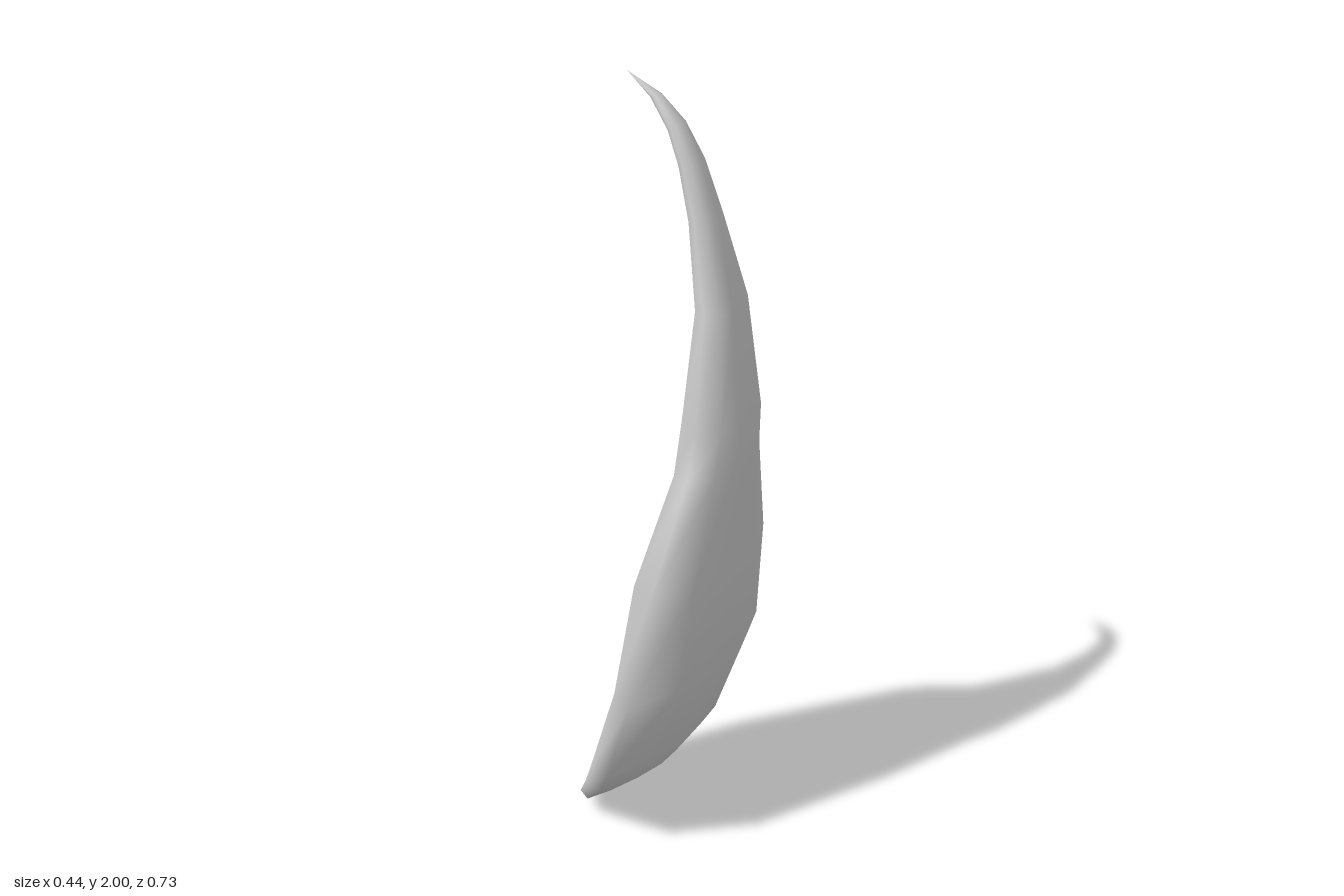
import * as THREE from 'three';

// Rows from base to tip: inner x, inner y, outer x, outer y, half width, roundness
const ROWS = [
  [-0.2, 0.05, -0.11, 0.05, 0.175, 0],
  [-0.15, 0.13, 0.01, 0.15, 0.25, 0],
  [-0.1, 0.22, 0.085, 0.255, 0.325, 0],
  [-0.01, 0.48, 0.17, 0.49, 0.365, 0],
  [0.02, 0.77, 0.2, 0.77, 0.31, 0.1],
  [0.07, 1.04, 0.21, 1.04, 0.185, 0.4],
  [0.07, 1.2, 0.222, 1.14, 0.155, 0.7],
  [0.08, 1.45, 0.19, 1.45, 0.1, 1],
  [0.055, 1.66, 0.125, 1.67, 0.063, 1],
  [0.025, 1.79, 0.08, 1.8, 0.047, 1],
  [-0.005, 1.87, 0.03, 1.89, 0.034, 1],
  [-0.055, 1.945, -0.03, 1.95, 0.019, 1],
];

// Half cross-sections from the inner to the outer centre: depth, width
const FLAT = [[0, 0], [0, 0.45], [0, 0.84], [0.4, 1], [0.8, 0.64], [0.97, 0.3], [1, 0]];
const ROUND = [[0, 0], [0.07, 0.5], [0.2, 0.82], [0.48, 1], [0.8, 0.78], [0.95, 0.42], [1, 0]];

function ring([ix, iy, ox, oy, w, k]) {
  const half = FLAT.map(([t, s], i) => {
    const d = THREE.MathUtils.lerp(t, ROUND[i][0], k);
    const z = w * THREE.MathUtils.lerp(s, ROUND[i][1], k);
    return [ix + (ox - ix) * d, iy + (oy - iy) * d, z];
  });
  const mirrored = half.slice(1, -1).reverse().map(([x, y, z]) => [x, y, -z]);
  return [...half, ...mirrored];
}

// Closed skin through all rings with a point at each end
function skin(rings, base, tip) {
  const n = rings[0].length;
  const points = [...rings.flat(), base, tip];
  const baseId = points.length - 2, tipId = points.length - 1;
  const index = [];
  for (let r = 0; r < rings.length - 1; r++) {
    for (let i = 0; i < n; i++) {
      const a = r * n + i, b = r * n + (i + 1) % n;
      index.push(a, b, b + n, a, b + n, a + n);
    }
  }
  const last = (rings.length - 1) * n;
  for (let i = 0; i < n; i++) {
    const j = (i + 1) % n;
    index.push(baseId, j, i, last + i, last + j, tipId);
  }
  const g = new THREE.BufferGeometry();
  g.setAttribute('position', new THREE.Float32BufferAttribute(points.flat(), 3));
  g.setIndex(index);
  g.computeVertexNormals();
  return g;
}

export function createModel() {
  const group = new THREE.Group();
  group.name = 'curvedPetal';
  const geometry = skin(ROWS.map(ring), [-0.222, 0, 0], [-0.122, 2, 0]);
  const petal = new THREE.Mesh(geometry, new THREE.MeshStandardMaterial({ color: 0xcccccc }));
  petal.name = 'petal';
  group.add(petal);
  return group;
}
